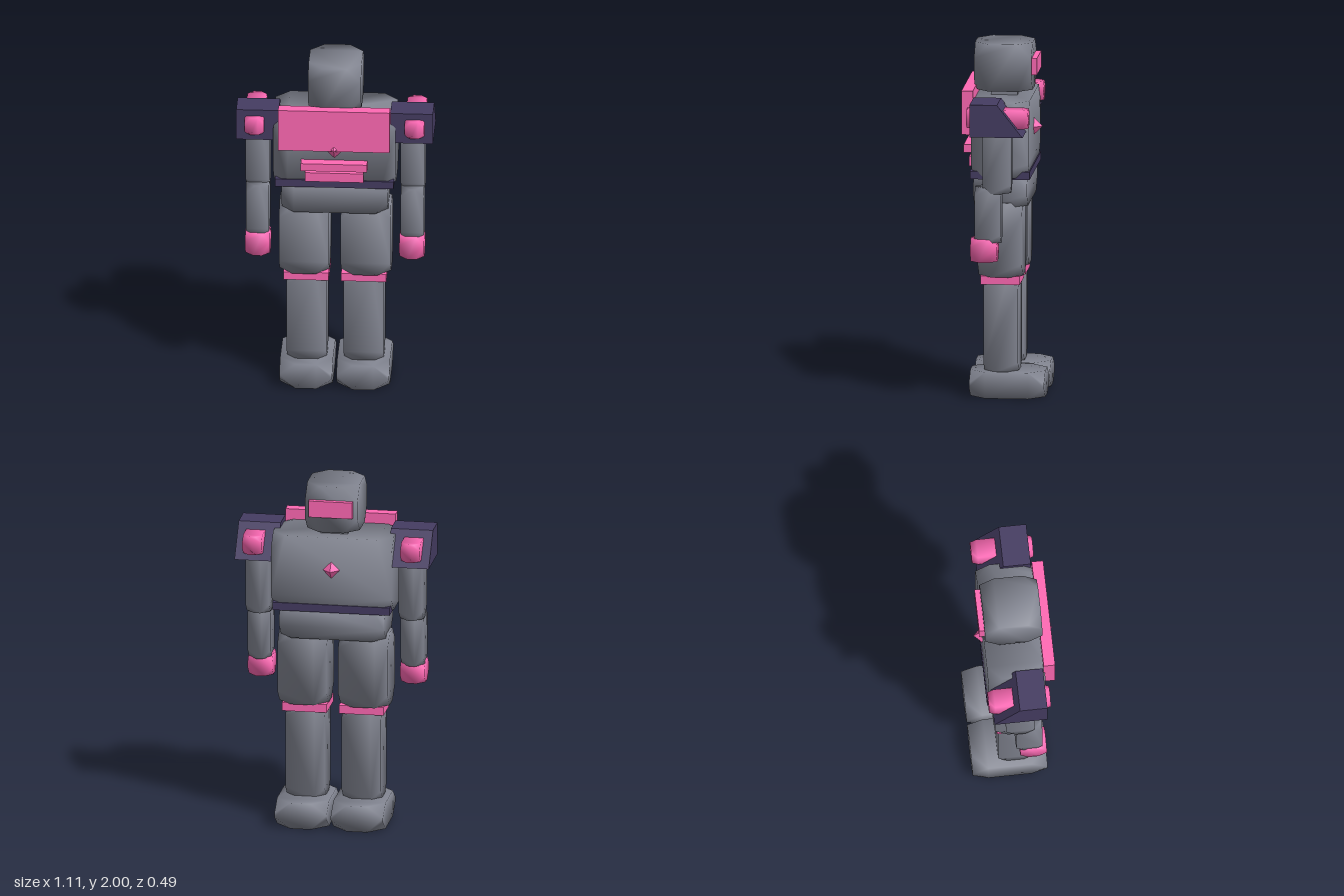
import * as THREE from 'three';
import { ConvexGeometry } from 'three/addons/geometries/ConvexGeometry.js';
import { mergeVertices } from 'three/addons/utils/BufferGeometryUtils.js';

const grey = new THREE.MeshStandardMaterial({ color: 0x80838f });
const pink = new THREE.MeshStandardMaterial({ color: 0xff69b4 });
const dark = new THREE.MeshStandardMaterial({ color: 0x453c62 });

// Box whose eight corners are cut off, with soft shared normals
function cutBox(w, h, d, cut) {
  const half = [w / 2, h / 2, d / 2];
  const points = [];
  for (const sx of [-1, 1]) for (const sy of [-1, 1]) for (const sz of [-1, 1]) {
    for (let axis = 0; axis < 3; axis++) {
      const p = [sx * half[0], sy * half[1], sz * half[2]];
      p[axis] *= 1 - Math.min(cut / half[axis], 0.85);
      points.push(new THREE.Vector3(...p));
    }
  }
  const geometry = new ConvexGeometry(points);
  geometry.deleteAttribute('normal');
  const merged = mergeVertices(geometry, 1e-4);
  merged.computeVertexNormals();
  return merged;
}

export function createModel() {
  const model = new THREE.Group();
  model.name = 'robot';

  function add(parent, name, geometry, material) {
    const mesh = new THREE.Mesh(geometry, material);
    mesh.name = name;
    parent.add(mesh);
    return mesh;
  }

  // Block given by its ranges in x, y and z; cut = 0 keeps the corners sharp
  function block(parent, name, material, [x0, x1], [y0, y1], [z0, z1], cut = 0) {
    const size = [x1 - x0, y1 - y0, z1 - z0];
    const geometry = cut ? cutBox(...size, cut) : new THREE.BoxGeometry(...size);
    const mesh = add(parent, name, geometry, material);
    mesh.position.set((x0 + x1) / 2, (y0 + y1) / 2, (z0 + z1) / 2);
    return mesh;
  }

  function gem(name, radius, y, z) {
    add(model, name, new THREE.OctahedronGeometry(radius), pink).position.set(0, y, z);
  }

  // Head
  block(model, 'head', grey, [-0.15, 0.15], [1.73, 2], [-0.155, 0.17], 0.08);
  block(model, 'visor', pink, [-0.125, 0.125], [1.825, 1.92], [-0.185, -0.14]);
  block(model, 'neck', grey, [-0.08, 0.08], [1.66, 1.75], [-0.07, 0.08]);

  // Torso
  block(model, 'torso', grey, [-0.345, 0.345], [1.27, 1.7], [-0.157, 0.167], 0.08);
  block(model, 'belt', dark, [-0.335, 0.335], [1.26, 1.305], [-0.163, 0.175]);
  block(model, 'pelvis', grey, [-0.3, 0.3], [1.095, 1.29], [-0.145, 0.16], 0.07);
  block(model, 'chestPlate', pink, [-0.315, 0.315], [1.51, 1.76], [0.16, 0.225]);
  block(model, 'upperBar', pink, [-0.187, 0.187], [1.385, 1.43], [0.15, 0.225]);
  block(model, 'lowerBar', pink, [-0.165, 0.165], [1.305, 1.36], [0.15, 0.195]);
  gem('frontGem', 0.09, 1.52, 0.153);
  gem('backGem', 0.07, 1.51, -0.135);

  // Wedge profile of the shoulder pad, drawn as (-z, y) and extruded along x
  const padShape = new THREE.Shape([
    [-0.155, 1.54], [0.145, 1.54], [0, 1.725], [-0.155, 1.725],
  ].map(([a, b]) => new THREE.Vector2(a, b)));

  // Limbs, one set for each side
  for (const [side, s] of [['left', 1], ['right', -1]]) {
    const xs = (a, b) => (s > 0 ? [a, b] : [-b, -a]);
    const arm = new THREE.Group();
    arm.name = side + 'Arm';
    const leg = new THREE.Group();
    leg.name = side + 'Leg';
    model.add(arm, leg);

    const pad = add(arm, 'shoulderPad',
      new THREE.ExtrudeGeometry(padShape, { depth: 0.24, bevelEnabled: false }), dark);
    pad.rotation.y = Math.PI / 2;
    pad.position.x = s > 0 ? 0.315 : -0.555;

    block(arm, 'shoulderPeg', pink, xs(0.397, 0.507), [1.58, 1.687], [-0.17, 0.18], 0.035);
    block(arm, 'upperArm', grey, xs(0.37, 0.505), [1.207, 1.62], [-0.07, 0.087], 0.05);
    block(arm, 'forearm', grey, xs(0.372, 0.502), [0.92, 1.24], [-0.015, 0.133], 0.05);
    block(arm, 'hand', pink, xs(0.365, 0.505), [0.813, 0.945], [0.007, 0.157], 0.045);

    block(leg, 'thigh', grey, xs(0.033, 0.315), [0.695, 1.12], [-0.117, 0.133], 0.075);
    block(leg, 'kneeBand', pink, xs(0.035, 0.29), [0.65, 0.698], [-0.103, 0.12]);
    block(leg, 'shin', grey, xs(0.048, 0.273), [0.14, 0.68], [-0.092, 0.104], 0.06);
    block(leg, 'foot', grey, xs(0.012, 0.31), [0, 0.15], [-0.242, 0.183], 0.09);
  }

  return model;
}
